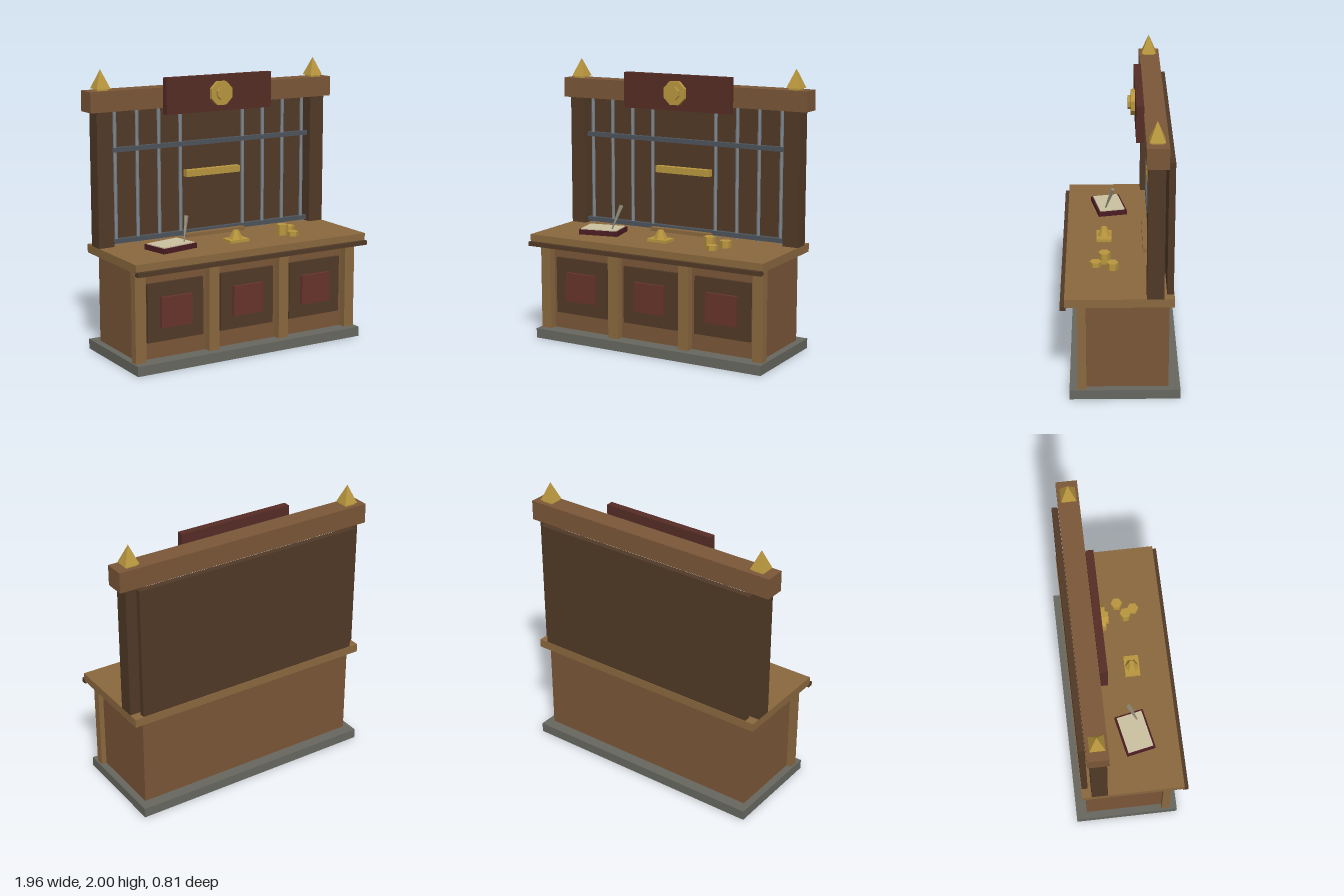
import * as THREE from 'three';

const paint = (color) => new THREE.MeshStandardMaterial({ color, flatShading: true });

export function createModel() {
  const model = new THREE.Group();
  const wood = paint(0x7a5638), oak = paint(0x8a683e), darkWood = paint(0x503926);
  const red = paint(0x66342a), maroon = paint(0x552c25), stone = paint(0x66675f);
  const brass = paint(0xb8963e), iron = paint(0x4c535a), steel = paint(0x7c848c);
  const cream = paint(0xcabf9f), leather = paint(0x4a1c22), quillGrey = paint(0x8f8a78);

  const add = (name, geometry, material, x, y, z) => {
    const mesh = new THREE.Mesh(geometry, material);
    mesh.name = name;
    mesh.position.set(x, y, z);
    model.add(mesh);
    return mesh;
  };
  // Box given by its extents along each axis
  const box = (name, material, x0, x1, y0, y1, z0, z1) =>
    add(name, new THREE.BoxGeometry(x1 - x0, y1 - y0, z1 - z0), material,
      (x0 + x1) / 2, (y0 + y1) / 2, (z0 + z1) / 2);
  // Upright faceted cylinder standing on y0
  const prism = (name, material, rTop, rBottom, height, sides, x, y0, z) =>
    add(name, new THREE.CylinderGeometry(rTop, rBottom, height, sides), material, x, y0 + height / 2, z);

  // Counter
  box('plinth', stone, -0.91, 0.91, 0, 0.07, -0.4, 0.35);
  box('cabinet', wood, -0.86, 0.86, 0.07, 0.715, -0.32, 0.24);
  box('counterTop', oak, -0.93, 0.93, 0.715, 0.775, -0.35, 0.375);
  box('counterTrim', darkWood, -0.93, 0.93, 0.695, 0.725, 0.365, 0.405);
  for (const x of [-0.857, -0.285, 0.285, 0.857])
    box('frontStile', oak, x - 0.04, x + 0.04, 0.07, 0.715, 0.235, 0.295);
  for (const x of [-0.57, 0, 0.57]) {
    box('frontPanel', darkWood, x - 0.215, x + 0.215, 0.19, 0.6, 0.235, 0.262);
    box('panelInset', red, x - 0.12, x + 0.12, 0.287, 0.5, 0.255, 0.285);
  }

  // Upper frame
  box('backBoard', darkWood, -0.865, 0.865, 0.775, 1.715, -0.345, -0.302);
  box('headerBeam', wood, -0.98, 0.98, 1.715, 1.857, -0.3, -0.155);
  for (const s of [-1, 1]) {
    const post = box('post', darkWood, -0.058, 0.058, 0.775, 1.715, -0.28, -0.167);
    post.position.x = s * 0.872;
    const finial = prism('finial', brass, 0, 0.073, 0.13, 4, s * 0.87, 1.87, -0.225);
    finial.rotation.y = Math.PI / 4;
    box('finialSeat', brass, s * 0.87 - 0.04, s * 0.87 + 0.04, 1.857, 1.87, -0.265, -0.185);
  }

  // Teller grille
  for (const s of [-1, 1])
    for (let i = 0; i < 4; i++)
      prism('grilleBar', steel, 0.0125, 0.0125, 0.94, 6, s * (0.258 + 0.171 * i), 0.775, -0.22);
  for (const y of [0.802, 1.443])
    box('grilleRail', iron, -0.815, 0.815, y - 0.016, y + 0.016, -0.237, -0.203);
  box('windowLedge', oak, -0.245, 0.245, 0.775, 0.802, -0.26, -0.16);
  box('windowBrassBar', brass, -0.22, 0.22, 1.205, 1.252, -0.24, -0.19);

  // Sign board and medallion
  box('signBoard', maroon, -0.427, 0.427, 1.673, 1.927, -0.155, -0.103);
  for (const [name, r, z] of [['medallion', 0.09, -0.075], ['medallionBoss', 0.048, -0.055]]) {
    const depth = z + 0.103;
    const disc = add(name, new THREE.CylinderGeometry(r, r, depth, 8).rotateY(Math.PI / 8), brass, 0, 1.8, z - depth / 2);
    disc.rotation.x = Math.PI / 2;
  }

  // Ledger and quill
  const cover = box('ledgerCover', leather, -0.147, 0.147, 0.775, 0.81, -0.105, 0.105);
  const pages = box('ledgerPages', cream, -0.135, 0.135, 0.8, 0.817, -0.092, 0.092);
  for (const part of [cover, pages]) {
    part.position.x = -0.503;
    part.position.z = 0.074;
    part.rotation.y = 0.2;
  }
  const tip = new THREE.Vector3(-0.412, 0.815, 0.098), end = new THREE.Vector3(-0.362, 0.985, 0.045);
  const quill = prism('quill', quillGrey, 0.016, 0.005, tip.distanceTo(end), 5, 0, 0, 0);
  quill.position.copy(tip).lerp(end, 0.5);
  quill.quaternion.setFromUnitVectors(new THREE.Vector3(0, 1, 0), end.clone().sub(tip).normalize());

  // Desk bell
  box('bellBase', brass, -0.077, 0.077, 0.775, 0.795, 0.058, 0.165);
  prism('bellDome', brass, 0.02, 0.05, 0.06, 6, 0, 0.795, 0.11);

  // Coin stacks
  for (const [x, z, h] of [[0.39, 0.11, 0.077], [0.485, 0.055, 0.048], [0.44, 0.17, 0.032]])
    prism('coinStack', brass, 0.041, 0.041, h, 6, x, 0.775, z);

  return model;
}
